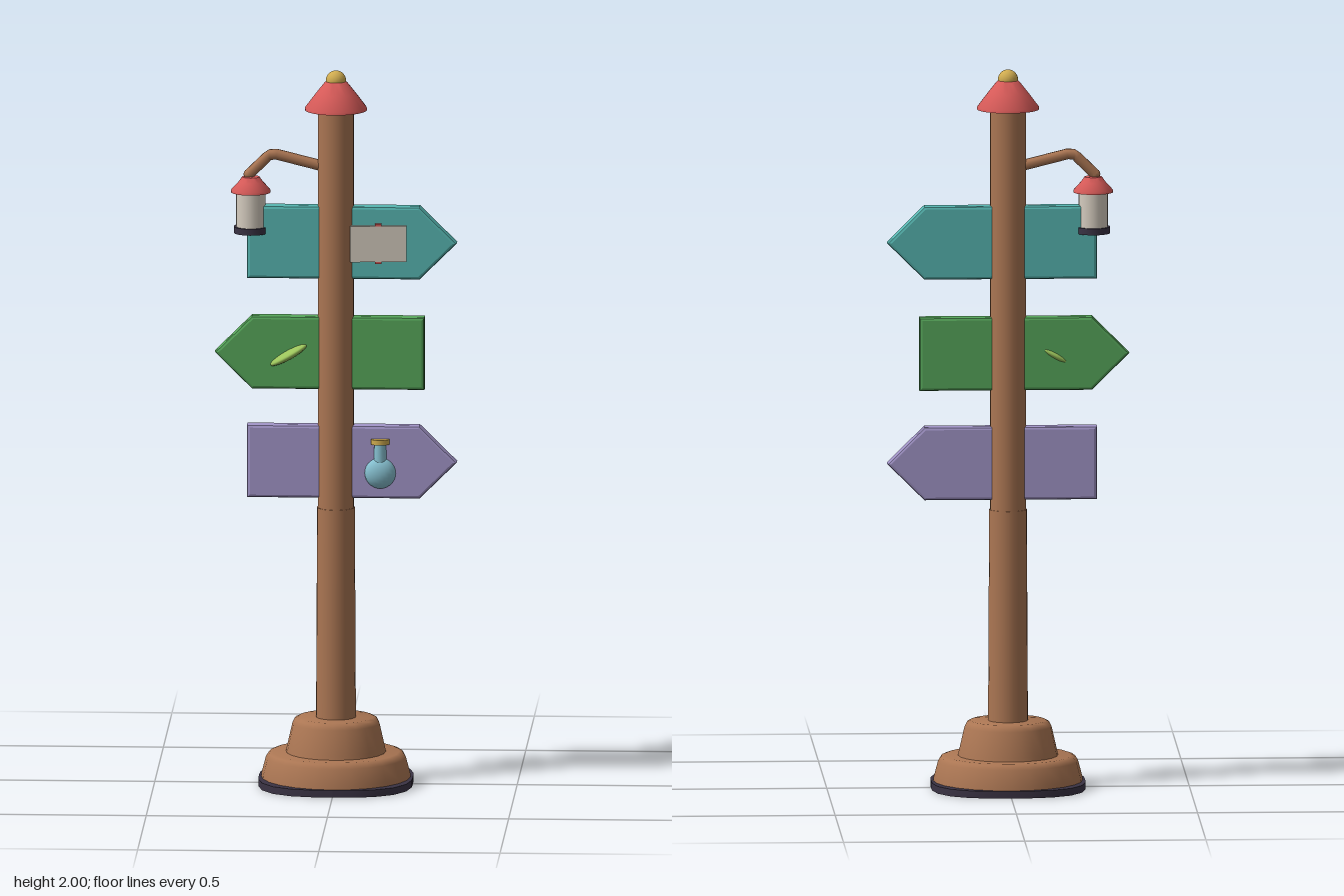
import * as THREE from 'three';
import { toCreasedNormals } from 'three/addons/utils/BufferGeometryUtils.js';

const mat = (name, color) => {
  const m = new THREE.MeshStandardMaterial({ color });
  m.name = name;
  return m;
};

export function createModel() {
  const root = new THREE.Group();
  root.name = 'signpost';

  const wood = mat('wood brown', 0xab7653);
  const dark = mat('dark plum', 0x3a3344);
  const red = mat('roof red', 0xd65a58);
  const gold = mat('gold', 0xd0ac50);
  const teal = mat('teal', 0x56b5b0);
  const green = mat('green', 0x56a65a);
  const purple = mat('lavender', 0xa295c8);
  const cream = mat('cream', 0xd6cdc0);
  const lime = mat('leaf lime', 0x9bc35b);
  const blue = mat('flask blue', 0x86c0d0);

  const add = (name, geo, material, x = 0, y = 0, z = 0, parent = root) => {
    const mesh = new THREE.Mesh(geo, material);
    mesh.name = name;
    mesh.position.set(x, y, z);
    parent.add(mesh);
    return mesh;
  };
  // Turned part from [radius, height] pairs, listed bottom to top
  const turned = (pts, segments = 24) => toCreasedNormals(
    new THREE.LatheGeometry(pts.map(([r, y]) => new THREE.Vector2(r, y)), segments), 0.7);

  // Squarish foot plate: a disc pushed out to a superellipse
  const foot = new THREE.CylinderGeometry(0.213, 0.213, 0.02, 24);
  const p = foot.attributes.position;
  for (let i = 0; i < p.count; i++) {
    const x = p.getX(i), z = p.getZ(i), r = Math.hypot(x, z);
    if (r < 0.01) continue;
    const k = Math.pow(Math.pow(Math.abs(x / r), 2.8) + Math.pow(Math.abs(z / r), 2.8), -1 / 2.8);
    p.setXYZ(i, x * k, p.getY(i), z * k);
  }
  foot.computeVertexNormals();
  add('footPlate', foot, dark, 0, 0.01);

  // Two-step plinth
  add('lowerPlinth', turned([[0, 0.015], [0.207, 0.015], [0.205, 0.03], [0.193, 0.075],
    [0.186, 0.086], [0.175, 0.09], [0, 0.09]]), wood);
  add('upperPlinth', turned([[0, 0.085], [0.139, 0.085], [0.136, 0.1], [0.12, 0.17],
    [0.114, 0.182], [0.104, 0.187], [0, 0.187]]), wood);

  // Pole with a slightly thicker lower sleeve
  add('pole', new THREE.CylinderGeometry(0.05, 0.05, 1.74, 24), wood, 0, 1.04);
  add('poleSleeve', new THREE.CylinderGeometry(0.052, 0.055, 0.6, 24), wood, 0, 0.475);

  // Cap and finial
  add('poleCap', turned([[0, 1.89], [0.086, 1.89], [0.085, 1.897], [0.055, 1.937],
    [0.032, 1.966], [0.026, 1.971], [0, 1.971]]), red);
  add('finial', new THREE.SphereGeometry(0.028, 20, 14), gold, 0, 1.972);

  // Arrow boards with softened edges; dir is the side the tip points to
  const b = 0.008;
  const board = (name, material, y, dir) => {
    const outline = [[-0.245 + b, -0.102 + b], [0.228, -0.102 + b], [0.334 - b * 1.4, 0],
      [0.228, 0.102 - b], [-0.245 + b, 0.102 - b]].map(([x, v]) => new THREE.Vector2(x * dir, v));
    const geo = new THREE.ExtrudeGeometry(new THREE.Shape(outline), {
      depth: 0.042 - 2 * b, bevelEnabled: true, bevelSize: b, bevelThickness: b, bevelSegments: 2,
    });
    geo.translate(0, 0, -0.022 + b);
    add(name, geo, material, 0, y);
  };
  board('upperSign', teal, 1.52, 1);
  board('middleSign', green, 1.21, -1);
  board('lowerSign', purple, 0.905, 1);

  // Letter card with its red strap
  const letter = new THREE.Group();
  letter.name = 'letter';
  letter.position.set(0.118, 1.52, 0.028);
  letter.rotation.y = 0.09;
  root.add(letter);
  add('card', new THREE.BoxGeometry(0.155, 0.1, 0.014), cream, 0, 0, 0, letter);
  add('strap', new THREE.BoxGeometry(0.018, 0.112, 0.012), red, 0, 0, 0, letter);

  // Leaf wedged through the middle board
  const leaf = add('leaf', new THREE.SphereGeometry(1, 20, 14), lime, -0.13, 1.204, 0.013);
  leaf.scale.set(0.059, 0.013, 0.043);
  leaf.rotation.z = 0.52;

  // Flask
  const flask = new THREE.Group();
  flask.name = 'flask';
  flask.position.set(0.123, 0, 0.021);
  root.add(flask);
  add('flaskBulb', new THREE.SphereGeometry(0.043, 20, 14), blue, 0, 0.875, 0, flask).scale.z = 0.62;
  add('flaskNeck', new THREE.CylinderGeometry(0.016, 0.018, 0.06, 16), blue, 0, 0.931, 0, flask);
  add('flaskRim', new THREE.CylinderGeometry(0.026, 0.026, 0.014, 20), gold, 0, 0.964, 0, flask);

  // Bent lantern arm
  const arm = new THREE.CurvePath();
  const bend = [[-0.03, 1.73], [-0.165, 1.764], [-0.184, 1.762], [-0.24, 1.707]]
    .map(([x, y]) => new THREE.Vector3(x, y, 0));
  for (let i = 0; i < 3; i++) arm.add(new THREE.LineCurve3(bend[i], bend[i + 1]));
  add('lanternArm', new THREE.TubeGeometry(arm, 24, 0.015, 10), wood);
  add('armEnd', new THREE.SphereGeometry(0.015, 10, 8), wood, -0.24, 1.707);

  // Hanging lantern
  const lantern = new THREE.Group();
  lantern.name = 'lantern';
  lantern.position.x = -0.235;
  root.add(lantern);
  add('lanternRoof', turned([[0, 1.657], [0.055, 1.657], [0.054, 1.664], [0.034, 1.686],
    [0.024, 1.7], [0, 1.702]], 20), red, 0, 0, 0, lantern);
  add('lanternGlass', new THREE.CylinderGeometry(0.041, 0.041, 0.1, 20), cream, 0, 1.608, 0, lantern);
  add('lanternBase', new THREE.CylinderGeometry(0.047, 0.047, 0.018, 20), dark, 0, 1.552, 0, lantern);

  return root;
}
